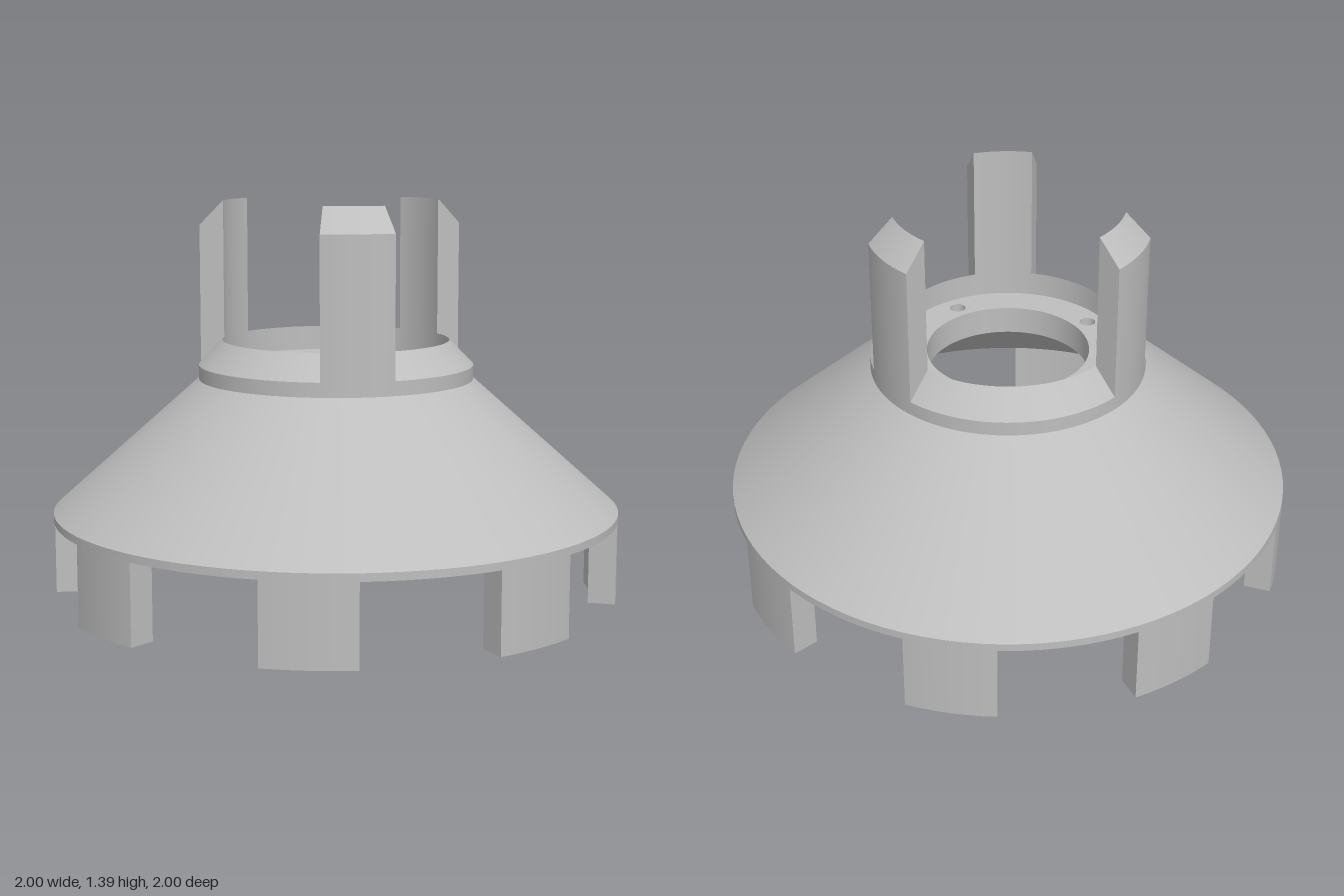
import * as THREE from 'three';
import { mergeGeometries } from 'three/addons/utils/BufferGeometryUtils.js';

const DEG = Math.PI / 180;
const SEGMENTS = 96;

// One smooth band per profile edge keeps the edges between bands sharp.
// Profiles are [radius, height] points, anticlockwise around the solid.
function band(a, b, start = 0, sweep = 360) {
  const steps = Math.max(6, Math.round((SEGMENTS * sweep) / 360));
  const points = [new THREE.Vector2(...a), new THREE.Vector2(...b)];
  return new THREE.LatheGeometry(points, steps, start * DEG, sweep * DEG);
}

// Closed profile swept through part of a turn, with flat end caps.
function arcBlock(profile, start, end) {
  const parts = profile.map((p, i) =>
    band(p, profile[(i + 1) % profile.length], start, end - start));
  const cap = (sign) => new THREE.ShapeGeometry(
    new THREE.Shape(profile.map(([r, y]) => new THREE.Vector2(sign * r, y))));
  parts.push(cap(1).rotateY(start * DEG - Math.PI / 2));
  parts.push(cap(-1).rotateY(end * DEG + Math.PI / 2));
  return mergeGeometries(parts);
}

export function createModel() {
  const model = new THREE.Group();
  model.name = 'ventedConeHub';
  const grey = new THREE.MeshStandardMaterial({ color: 0xbebebe });
  grey.name = 'plainGrey';

  const add = (name, geometry) => {
    const mesh = new THREE.Mesh(geometry, grey);
    mesh.name = name;
    model.add(mesh);
    return mesh;
  };

  const floorY = 0.815, bore = 0.285, inner = 0.4, outer = 0.485;
  const edgeY = 0.28, footInner = 0.905;

  // Hollow cone: bore, hollow underside, flat ring, edge, slope and collar
  const outline = [[bore, floorY], [bore, 0.715], [footInner, edgeY], [1, edgeY],
    [1, 0.307], [outer, 0.765], [outer, floorY]];
  add('coneBody', mergeGeometries(
    outline.slice(1).map((p, i) => band(outline[i], p))));

  // Flat seat around the bore, pierced by four small holes
  const seat = new THREE.Shape().absarc(0, 0, outer, 0, Math.PI * 2);
  seat.holes.push(new THREE.Path().absarc(0, 0, bore, 0, Math.PI * 2, true));
  const pinR = 0.028, pinDepth = 0.05;
  for (let i = 0; i < 4; i++) {
    const a = (i * Math.PI) / 2;
    const x = Math.cos(a) * 0.34, z = Math.sin(a) * 0.34;
    seat.holes.push(new THREE.Path().absarc(x, z, pinR, 0, Math.PI * 2, true));
    // Blind hole: wall facing inwards and a floor
    const hole = mergeGeometries([
      band([pinR, 0], [pinR, -pinDepth]),
      band([pinR, -pinDepth], [0, -pinDepth]),
    ]);
    add('pinHole', hole).position.set(x, floorY, z);
  }
  add('seat', new THREE.ShapeGeometry(seat, 48).rotateX(-Math.PI / 2).translate(0, floorY, 0));

  // Three tall prongs, with the chamfered rim filling the gaps between them
  const prong = [[inner, floorY], [outer, floorY], [outer, 1.3], [inner, 1.387]];
  const rim = [[inner, floorY], [outer, floorY], [inner, 0.902]];
  for (let i = 0; i < 3; i++) {
    const centre = 60 + i * 120;
    add('prong', arcBlock(prong, centre - 15, centre + 15));
    add('rim', arcBlock(rim, centre + 15, centre + 105));
  }

  // Eight feet below the outer edge
  const foot = [[footInner, 0], [1, 0], [1, edgeY], [footInner, edgeY]];
  for (let i = 0; i < 8; i++) {
    add('foot', arcBlock(foot, i * 45 - 7.6, i * 45 + 10.4));
  }

  return model;
}
